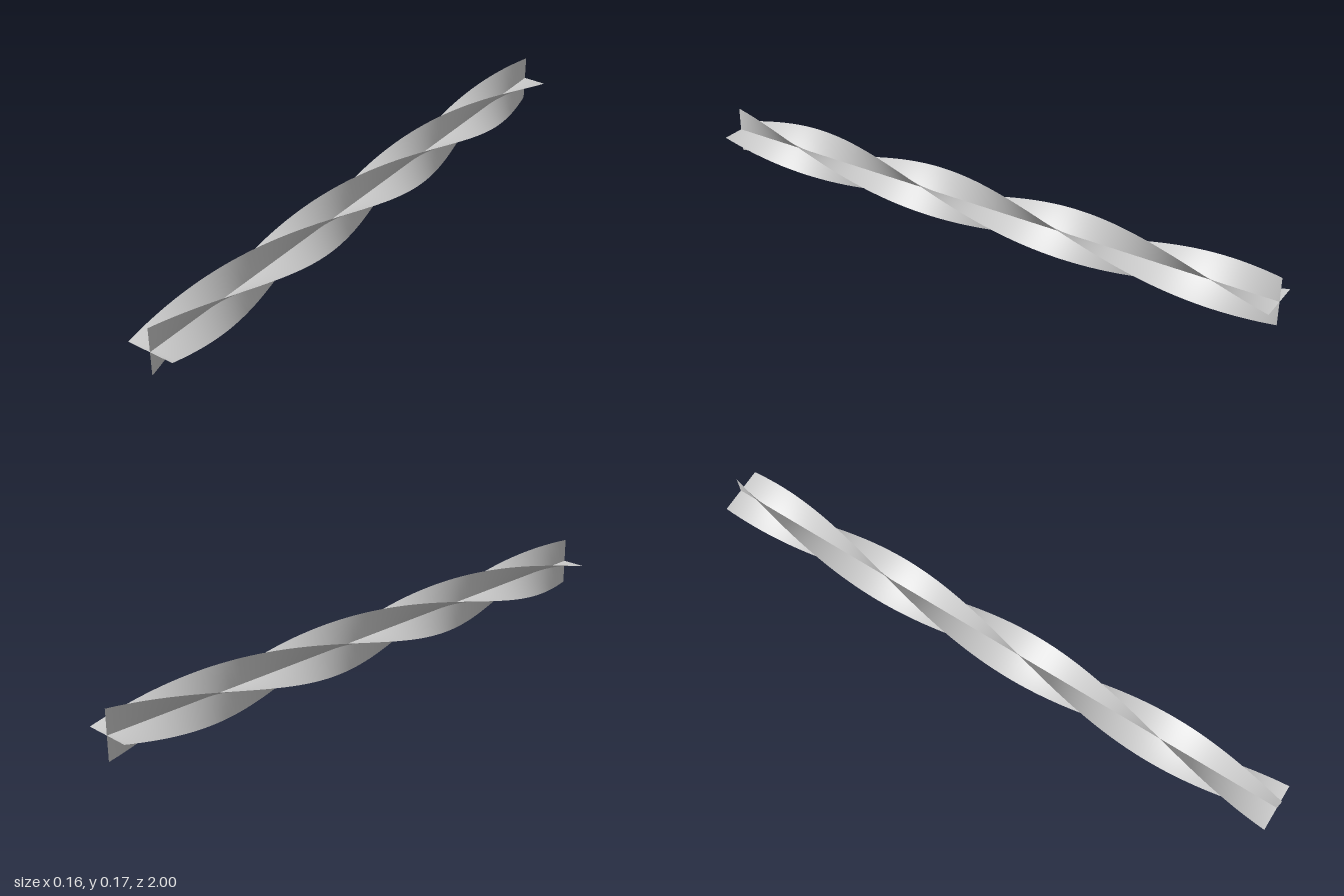
import * as THREE from 'three';

const RADIUS = 0.0795;
const LENGTH = 2;
const SEGMENTS = 144;

// Thin strip along z, twisted one full turn about a slightly rising axis
function twistedBlade(startAngle) {
  const geometry = new THREE.PlaneGeometry(2 * RADIUS, LENGTH, 2, SEGMENTS);
  geometry.rotateX(Math.PI / 2);
  const pos = geometry.attributes.position;
  for (let i = 0; i < pos.count; i++) {
    const r = pos.getX(i);
    const z = pos.getZ(i);
    const angle = startAngle + Math.PI * z;
    const axisY = 0.0877 + 0.0077 * z;
    pos.setXYZ(i, r * Math.cos(angle), axisY + r * Math.sin(angle), z);
  }
  geometry.computeVertexNormals();
  return geometry;
}

export function createModel() {
  const group = new THREE.Group();
  group.name = 'twistedCrossRod';
  const material = new THREE.MeshStandardMaterial({ color: 0xcccccc, side: THREE.DoubleSide });

  // Two crossing blades, a quarter turn apart
  ['firstBlade', 'secondBlade'].forEach((name, i) => {
    const blade = new THREE.Mesh(twistedBlade(i * Math.PI / 2), material);
    blade.name = name;
    group.add(blade);
  });
  return group;
}
